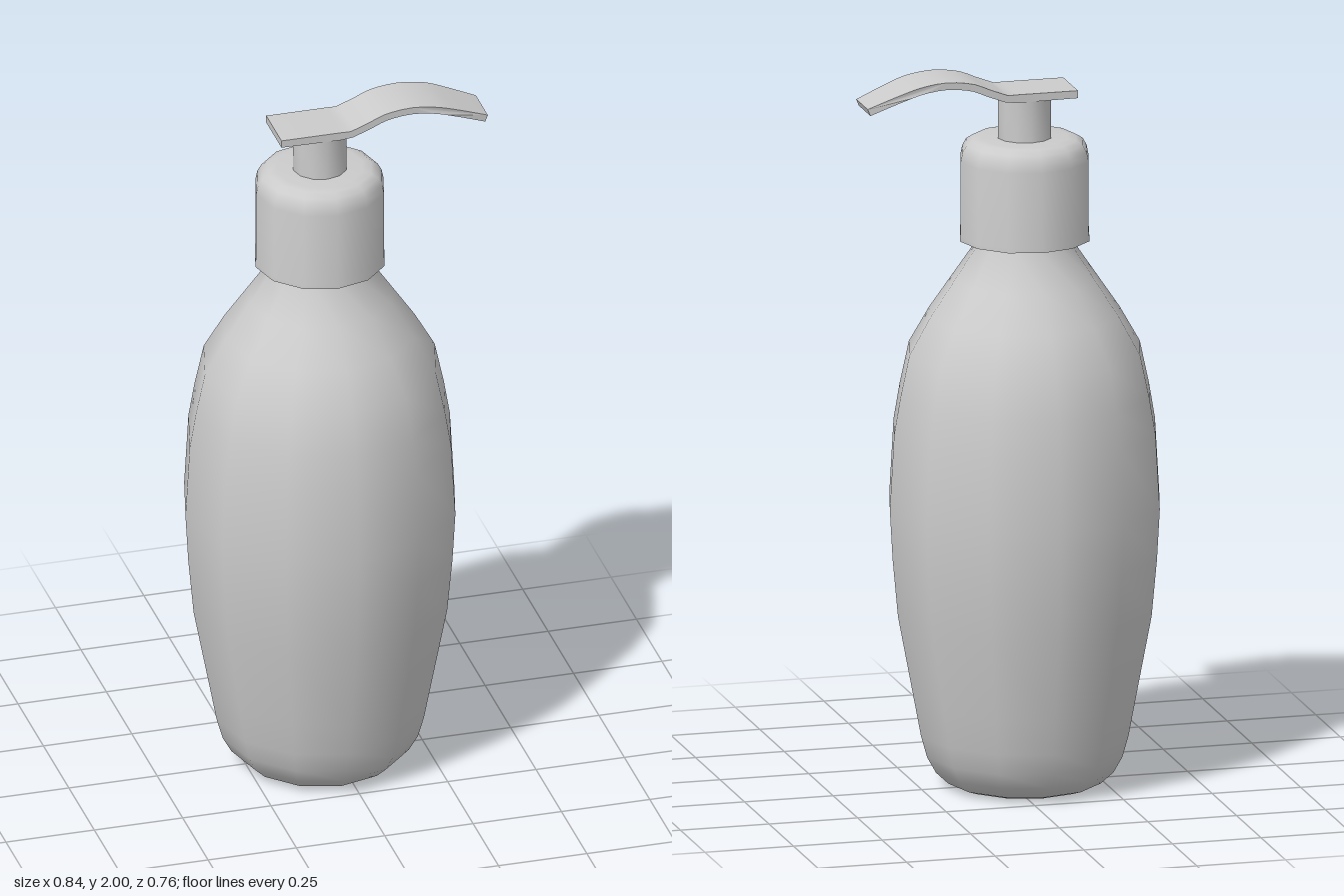
import * as THREE from 'three';
import { toCreasedNormals } from 'three/addons/utils/BufferGeometryUtils.js';

const SIDES = 12;
const AXIS_X = -0.04; // the bottle sits off centre because the spout overhangs
const material = new THREE.MeshStandardMaterial({ color: 0xcccccc });

function addMesh(group, name, geometry, crease) {
  const mesh = new THREE.Mesh(toCreasedNormals(geometry, crease), material);
  mesh.name = name;
  group.add(mesh);
  return mesh;
}

// Twelve-sided turned part, profile of [radius, height] from bottom to top
function addTurned(group, name, profile, crease) {
  const points = profile.map(([r, y]) => new THREE.Vector2(r, y));
  addMesh(group, name, new THREE.LatheGeometry(points, SIDES), crease).position.x = AXIS_X;
}

// Flat press plate flowing into an arched spout, tapered towards the tip
function spoutGeometry() {
  const arch = new THREE.SplineCurve([
    [0.03, 1.943], [0.08, 1.962], [0.13, 1.982], [0.2, 1.99],
    [0.27, 1.981], [0.33, 1.961], [0.415, 1.927],
  ].map(([x, y]) => new THREE.Vector2(x, y)));
  const upper = [new THREE.Vector2(-0.17, 1.953), new THREE.Vector2(0, 1.953)];
  const lower = [new THREE.Vector2(-0.17, 1.932), new THREE.Vector2(0, 1.93)];
  const steps = 16;
  for (let i = 0; i <= steps; i++) {
    const p = arch.getPoint(i / steps);
    const t = arch.getTangent(i / steps);
    const normal = new THREE.Vector2(-t.y, t.x).multiplyScalar(0.01);
    upper.push(p.clone().add(normal));
    lower.push(p.clone().sub(normal));
  }
  const geometry = new THREE.ExtrudeGeometry(
    new THREE.Shape([...lower, ...upper.reverse()]),
    { depth: 0.15, bevelEnabled: false });
  geometry.translate(0, 0, -0.075);
  const position = geometry.attributes.position;
  for (let i = 0; i < position.count; i++) {
    const taper = THREE.MathUtils.clamp((position.getX(i) - 0.29) / 0.13, 0, 1);
    position.setZ(i, position.getZ(i) * (1 - 0.22 * taper));
  }
  return geometry;
}

export function createModel() {
  const group = new THREE.Group();
  group.name = 'pumpBottle';

  // Bottle with rounded base, full belly and sloping shoulder up to the neck
  addTurned(group, 'bottle', [
    [0, 0], [0.18, 0], [0.215, 0.012], [0.25, 0.045], [0.275, 0.09], [0.292, 0.15],
    [0.311, 0.25], [0.357, 0.49], [0.372, 0.65], [0.38, 0.79], [0.368, 1.0],
    [0.351, 1.1], [0.325, 1.22], [0.268, 1.32], [0.2, 1.42], [0.125, 1.53], [0.115, 1.6],
  ], 1.2);

  // Screw cap with a small lip, recessed underside and rounded top edge
  addTurned(group, 'cap', [
    [0.1, 1.57], [0.165, 1.57], [0.17, 1.532], [0.182, 1.532], [0.182, 1.545],
    [0.18, 1.56], [0.18, 1.755], [0.175, 1.78], [0.164, 1.8], [0.145, 1.812],
    [0.12, 1.815], [0, 1.815],
  ], 0.9);

  // Pump stem
  addTurned(group, 'stem', [[0.075, 1.8], [0.075, 1.935], [0, 1.935]], 0.9);

  addMesh(group, 'spout', spoutGeometry(), 0.7);
  return group;
}
